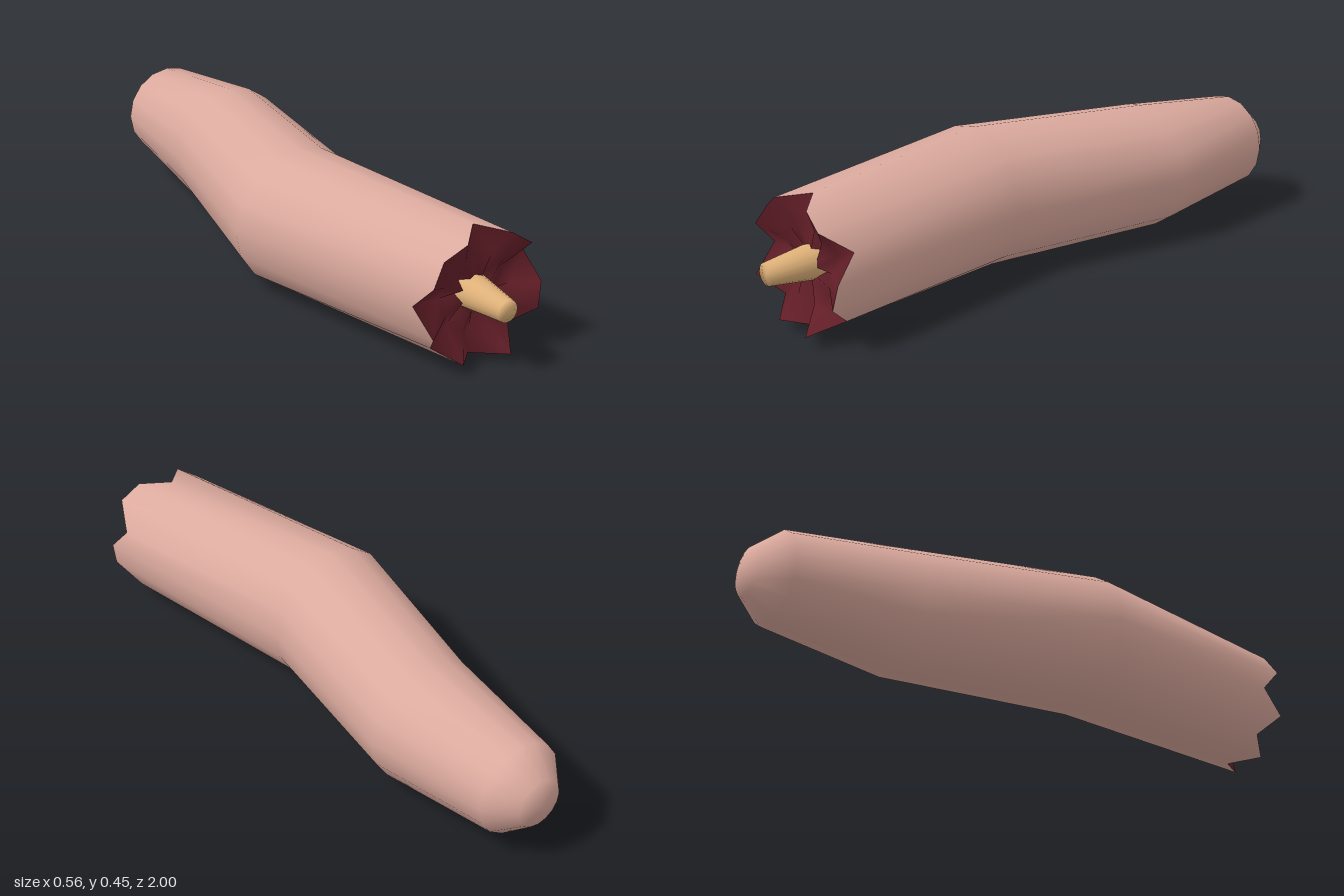
import * as THREE from 'three';
import { mergeVertices } from 'three/addons/utils/BufferGeometryUtils.js';

const SIDES = 16;
const MID_Y = 0.225;

// Rim depth of the torn end, counter-clockwise from +x
const TORN = [0.9, 0.83, 0.92, 0.91, 0.83, 0.91, 0.89, 0.905,
  0.83, 0.91, 0.84, 0.91, 0.83, 0.93, 0.83, 0.91];

// Joins round cross-sections { x, r, z }, where z may be a function of the side index
function loft(rings) {
  const positions = [];
  const index = [];
  rings.forEach(({ x, r, z }, i) => {
    for (let j = 0; j < SIDES; j++) {
      const a = (j / SIDES) * Math.PI * 2;
      positions.push(x + r * Math.cos(a), MID_Y + r * Math.sin(a), typeof z === 'function' ? z(j) : z);
      if (i === rings.length - 1) continue;
      const k = (j + 1) % SIDES;
      const p = i * SIDES + j, q = i * SIDES + k;
      if (r > 0) index.push(p, q, p + SIDES);
      if (rings[i + 1].r > 0) index.push(q, q + SIDES, p + SIDES);
    }
  });
  const geometry = new THREE.BufferGeometry();
  geometry.setAttribute('position', new THREE.Float32BufferAttribute(positions, 3));
  geometry.setIndex(index);
  const merged = mergeVertices(geometry);
  merged.computeVertexNormals();
  return merged;
}

function part(name, geometry, color) {
  const mesh = new THREE.Mesh(geometry, new THREE.MeshStandardMaterial({ color }));
  mesh.name = name;
  return mesh;
}

export function createModel() {
  const group = new THREE.Group();
  group.name = 'severedFinger';
  const rim = (j) => TORN[j];

  // Bent skin tube, from rounded tip to torn rim
  group.add(part('skin', loft([
    { x: 0.072, r: 0, z: -1 },
    { x: 0.072, r: 0.078, z: -0.98 },
    { x: 0.072, r: 0.15, z: -0.895 },
    { x: 0.072, r: 0.203, z: -0.48 },
    { x: -0.056, r: 0.225, z: 0.13 },
    { x: 0.074, r: 0.205, z: rim },
  ]), 0xdcaa9e));

  // Ragged flesh dished in towards the bone
  group.add(part('flesh', loft([
    { x: 0.074, r: 0.205, z: rim },
    { x: 0.074, r: 0.12, z: (j) => 0.85 + (TORN[j] - 0.88) * 0.4 },
    { x: 0.074, r: 0.05, z: (j) => 0.845 + (TORN[(j + 2) % SIDES] - 0.88) * 0.4 },
    { x: 0.074, r: 0, z: 0.83 },
  ]), 0x661f29));

  // Bone stub tapering to a blunt end
  group.add(part('bone', loft([
    { x: 0.074, r: 0.06, z: 0.8 },
    { x: 0.074, r: 0.035, z: 1 },
    { x: 0.074, r: 0, z: 1 },
  ]), 0xdeb078));

  return group;
}
